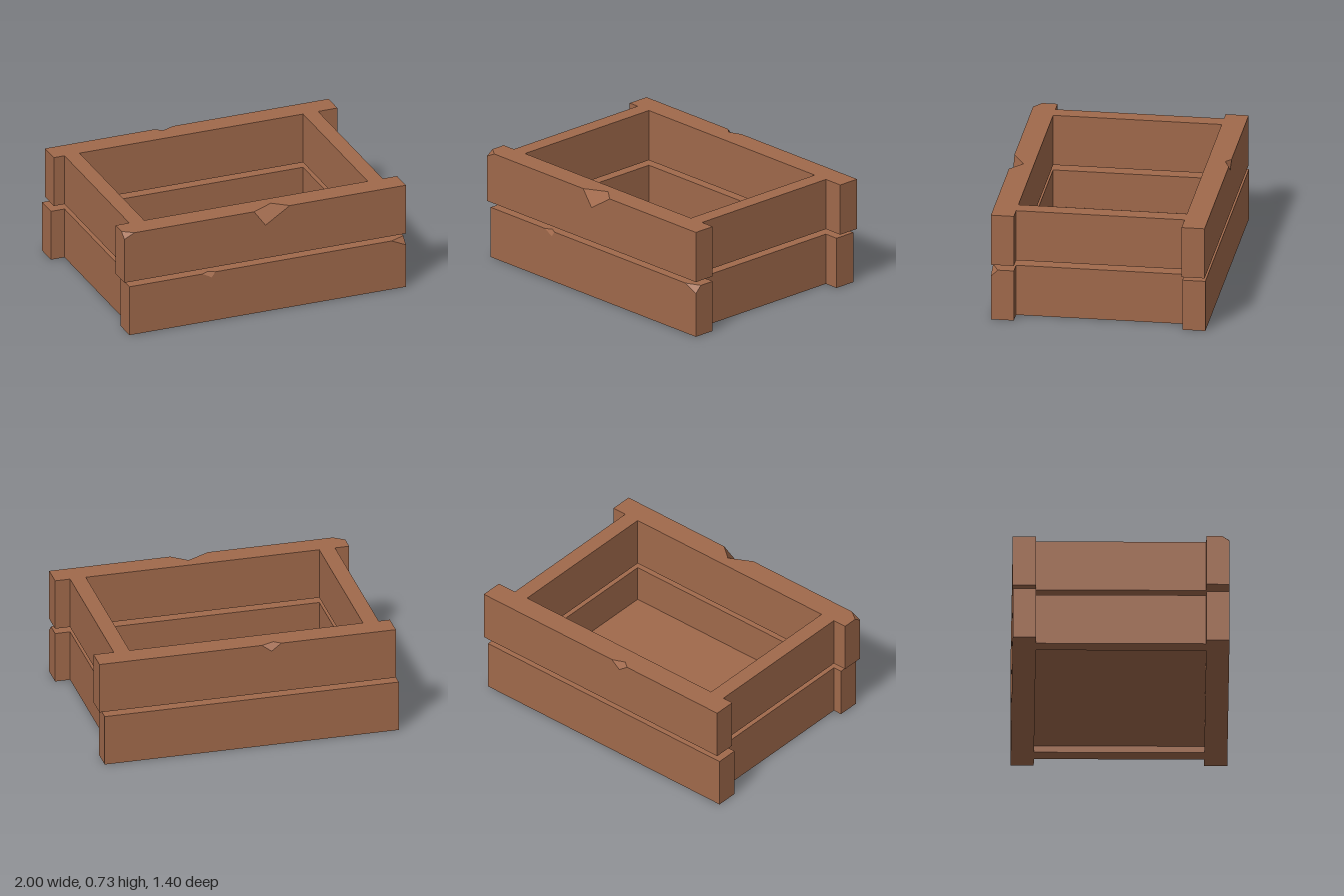
import * as THREE from 'three';

const wood = new THREE.MeshStandardMaterial({ color: 0xa0694b });
wood.name = 'brown wood';

const V = (x, y, z) => new THREE.Vector3(x, y, z);

// Adds a flat polygon, triangulated and wound to face along its normal
function addPolygon(out, points, normal) {
  const n = normal.clone().normalize();
  const u = V(n.y, n.z, n.x).cross(n).normalize();
  const v = n.clone().cross(u);
  const flat = points.map((p) => new THREE.Vector2(p.dot(u), p.dot(v)));
  for (const tri of THREE.ShapeUtils.triangulateShape(flat, [])) {
    let [a, b, c] = tri.map((i) => points[i]);
    const facing = b.clone().sub(a).cross(c.clone().sub(a));
    if (facing.dot(n) < 0) [b, c] = [c, b];
    for (const p of [a, b, c]) {
      out.position.push(p.x, p.y, p.z);
      out.normal.push(n.x, n.y, n.z);
    }
  }
}

// Plank whose outer face is +z, with optional notch in the top outer edge
// and optional chipped corners: { x, y, z } are the sizes cut off
function plankGeometry({ x0, x1, y0, y1, notch, chipLeft, chipRight }) {
  const zi = 0.55, zo = 0.7;
  const out = { position: [], normal: [] };
  const front = [V(x0, y0, zo), V(x1, y0, zo)];
  const top = [V(x0, y1, zi), V(x1, y1, zi)];

  // Chipped or square corner at one end
  const corner = (x, side, chip) => {
    const end = [V(x, y0, zo), V(x, y0, zi), V(x, y1, zi)];
    if (!chip) {
      const p = V(x, y1, zo);
      addPolygon(out, [...end, p], V(side, 0, 0));
      return { front: [p], top: [p] };
    }
    const down = V(x, y1 - chip.y, zo);
    const along = V(x - side * chip.x, y1, zo);
    const inward = V(x, y1, zo - chip.z);
    addPolygon(out, [...end, inward, down], V(side, 0, 0));
    addPolygon(out, [down, along, inward], V(side / chip.x, 1 / chip.y, 1 / chip.z));
    return { front: [down, along], top: [inward, along] };
  };

  const right = corner(x1, 1, chipRight);
  front.push(...right.front);
  top.push(...right.top);

  if (notch) {
    const a = V(notch.a, y1, zo), b = V(notch.b, y1, zo);
    const f = V(notch.frontX, y1 - notch.depthY, zo);
    const t = V(notch.topX, y1, zo - notch.depthZ);
    front.push(b, f, a);
    top.push(b, t, a);
    // Two facets of the splintered notch, softly shaded together
    const n1 = f.clone().sub(a).cross(t.clone().sub(a));
    const n2 = t.clone().sub(b).cross(f.clone().sub(b));
    const shared = n1.clone().normalize().add(n2.clone().normalize()).normalize();
    for (const p of [a, f, t, b, t, f]) {
      out.position.push(p.x, p.y, p.z);
      out.normal.push(shared.x, shared.y, shared.z);
    }
  }

  const left = corner(x0, -1, chipLeft);
  front.push(...left.front.reverse());
  top.push(...left.top.reverse());
  addPolygon(out, front, V(0, 0, 1));
  addPolygon(out, top, V(0, 1, 0));
  addPolygon(out, [V(x0, y0, zi), V(x1, y0, zi), V(x1, y1, zi), V(x0, y1, zi)], V(0, 0, -1));
  addPolygon(out, [V(x0, y0, zi), V(x1, y0, zi), V(x1, y0, zo), V(x0, y0, zo)], V(0, -1, 0));

  const geometry = new THREE.BufferGeometry();
  geometry.setAttribute('position', new THREE.Float32BufferAttribute(out.position, 3));
  geometry.setAttribute('normal', new THREE.Float32BufferAttribute(out.normal, 3));
  return geometry;
}

export function createModel() {
  const crate = new THREE.Group();
  crate.name = 'crate';

  const add = (name, geometry) => {
    const mesh = new THREE.Mesh(geometry, wood);
    mesh.name = name;
    crate.add(mesh);
    return mesh;
  };
  const addBox = (name, x0, x1, y0, y1) => {
    const mesh = add(name, new THREE.BoxGeometry(x1 - x0, y1 - y0, 1.1));
    mesh.position.set((x0 + x1) / 2, (y0 + y1) / 2, 0);
  };

  const lower = { y0: 0, y1: 0.345 };
  const upper = { y0: 0.38, y1: 0.725 };

  // Long front planks
  add('lowerFrontPlank', plankGeometry({
    ...lower, x0: -0.965, x1: 0.965,
    notch: { a: -0.455, b: -0.365, frontX: -0.39, topX: -0.41, depthY: 0.035, depthZ: 0.025 },
    chipRight: { x: 0.1, y: 0.045, z: 0.045 },
  }));
  add('upperFrontPlank', plankGeometry({
    ...upper, x0: -1, x1: 0.965,
    notch: { a: -0.095, b: 0.155, frontX: -0.015, topX: 0.055, depthY: 0.11, depthZ: 0.08 },
    chipLeft: { x: 0.07, y: 0.035, z: 0.05 },
  }));

  // Long back planks, turned to face backwards
  add('lowerBackPlank', plankGeometry({ ...lower, x0: -0.965, x1: 1 })).rotation.y = Math.PI;
  add('upperBackPlank', plankGeometry({
    ...upper, x0: -1, x1: 0.98,
    notch: { a: 0.085, b: 0.215, frontX: 0.15, topX: 0.17, depthY: 0.05, depthZ: 0.035 },
  })).rotation.y = Math.PI;

  // Short side planks between the long ones
  for (const [tier, { y0, y1 }] of [['lower', lower], ['upper', upper]]) {
    addBox(tier + 'RightPlank', -0.905, -0.8, y0, y1);
    addBox(tier + 'LeftPlank', 0.76, 0.865, y0, y1);
  }

  // Floor, raised a little from the ground
  addBox('floor', -0.8, 0.76, 0.045, 0.09);

  return crate;
}
